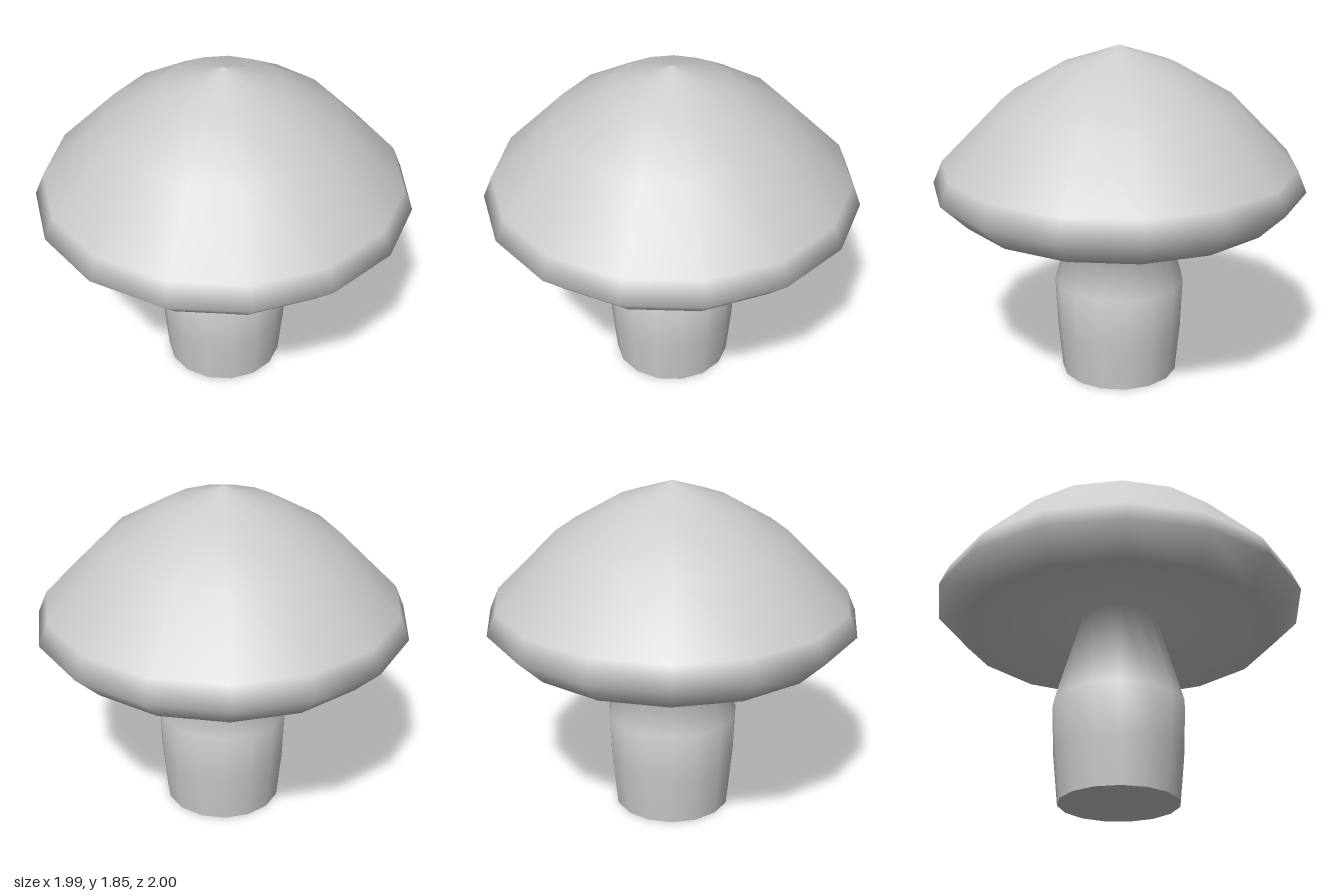
import * as THREE from 'three';

const SIDES = 15;
const OFFSET_X = -0.011; // an odd polygon needs a small shift to be centred

// Radius and height, from the foot of the stem up to the apex
const PROFILE = [
  [0.32, 0], [0.346, 0.27], [0.357, 0.54], [0.206, 1.045], // stem
  [0.862, 0.955], [1.0055, 1.095], [0.955, 1.215],         // underside and rim
  [0.622, 1.555], [0.312, 1.738], [0, 1.845],              // dome
];
const JOINT = 3; // profile point where stem and cap meet

export function createModel() {
  const group = new THREE.Group();
  group.name = 'mushroom';
  const material = new THREE.MeshStandardMaterial({ color: 0xcccccc });

  const points = PROFILE.map(([r, y]) => new THREE.Vector2(r, y));
  const lathe = new THREE.LatheGeometry(points, SIDES, Math.PI / 2);

  // Takes one stretch of the profile, keeping the smooth normals across the joint
  function addSection(name, from, to) {
    const geometry = lathe.clone();
    const source = lathe.index.array;
    const index = [];
    for (let i = 0; i < source.length; i += 3) {
      const face = [source[i], source[i + 1], source[i + 2]];
      const inside = face.every((v) => v % points.length >= from && v % points.length <= to);
      if (inside) index.push(...face);
    }
    geometry.setIndex(index);
    const mesh = new THREE.Mesh(geometry, material);
    mesh.name = name;
    mesh.position.x = OFFSET_X;
    group.add(mesh);
  }

  addSection('stem', 0, JOINT);
  addSection('cap', JOINT, points.length - 1);

  // Flat foot with a hard edge, facing down
  const foot = new THREE.Mesh(new THREE.CircleGeometry(PROFILE[0][0], SIDES), material);
  foot.name = 'stemFoot';
  foot.rotation.x = Math.PI / 2;
  foot.position.x = OFFSET_X;
  group.add(foot);

  return group;
}
